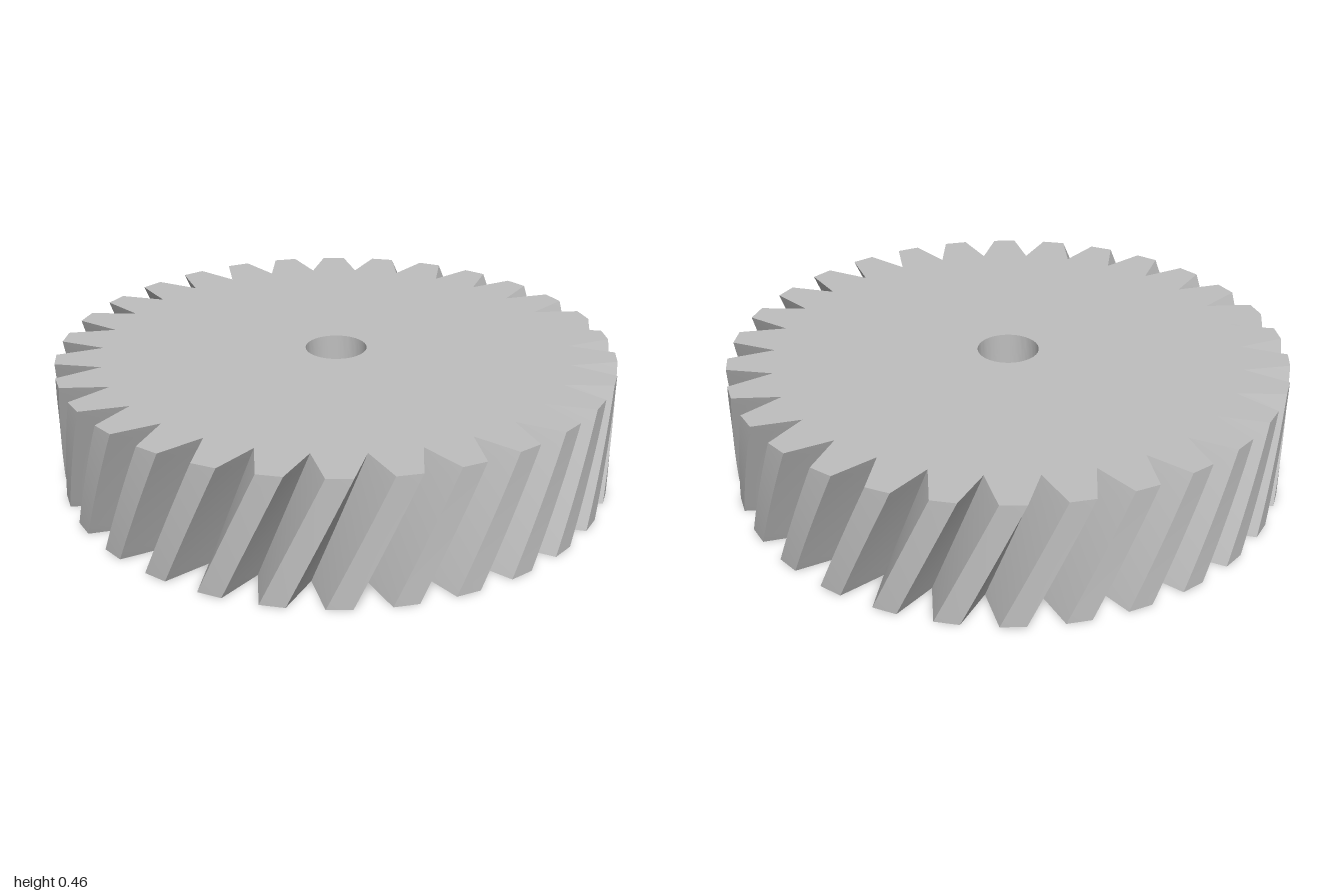
import * as THREE from 'three';
import { toCreasedNormals } from 'three/addons/utils/BufferGeometryUtils.js';

const TEETH = 30;
const HEIGHT = 0.457;
const TIP_RADIUS = 1;
const ROOT_RADIUS = 0.84;
const BORE_RADIUS = 0.11;
const PITCH = (Math.PI * 2) / TEETH;
const TWIST = PITCH; // turn of the teeth from bottom to top
const NOTCH_ANGLE = THREE.MathUtils.degToRad(1.4); // first notch on the top face
const NOTCH_HALF = THREE.MathUtils.degToRad(3.55);

// Point at an angle measured from the front (+z) towards +x
const polar = (r, a) => new THREE.Vector2(r * Math.sin(a), -r * Math.cos(a));

// Gear outline with sharp V notches and a round bore
function gearShape() {
  const points = [];
  for (let i = 0; i < TEETH; i++) {
    const a = NOTCH_ANGLE + i * PITCH;
    points.push(
      polar(TIP_RADIUS, a - NOTCH_HALF),
      polar(ROOT_RADIUS, a),
      polar(TIP_RADIUS, a + NOTCH_HALF)
    );
  }
  const shape = new THREE.Shape(points);
  shape.holes.push(new THREE.Path().absarc(0, 0, BORE_RADIUS, 0, Math.PI * 2, true));
  return shape;
}

// Extrude upward, then turn each level to make the teeth helical
function helicalGear() {
  const geometry = new THREE.ExtrudeGeometry(gearShape(), {
    depth: HEIGHT, steps: 12, curveSegments: 48, bevelEnabled: false,
  });
  geometry.rotateX(-Math.PI / 2);
  const position = geometry.attributes.position;
  const axis = new THREE.Vector3(0, 1, 0);
  const v = new THREE.Vector3();
  for (let i = 0; i < position.count; i++) {
    v.fromBufferAttribute(position, i);
    v.applyAxisAngle(axis, TWIST * (v.y / HEIGHT - 1));
    position.setXYZ(i, v.x, v.y, v.z);
  }
  return toCreasedNormals(geometry, 0.5);
}

export function createModel() {
  const group = new THREE.Group();
  group.name = 'helicalGear';

  const steel = new THREE.MeshStandardMaterial({ color: 0xbfbfbf });
  steel.name = 'greySteel';

  const gear = new THREE.Mesh(helicalGear(), steel);
  gear.name = 'gearWheel';
  group.add(gear);
  return group;
}
